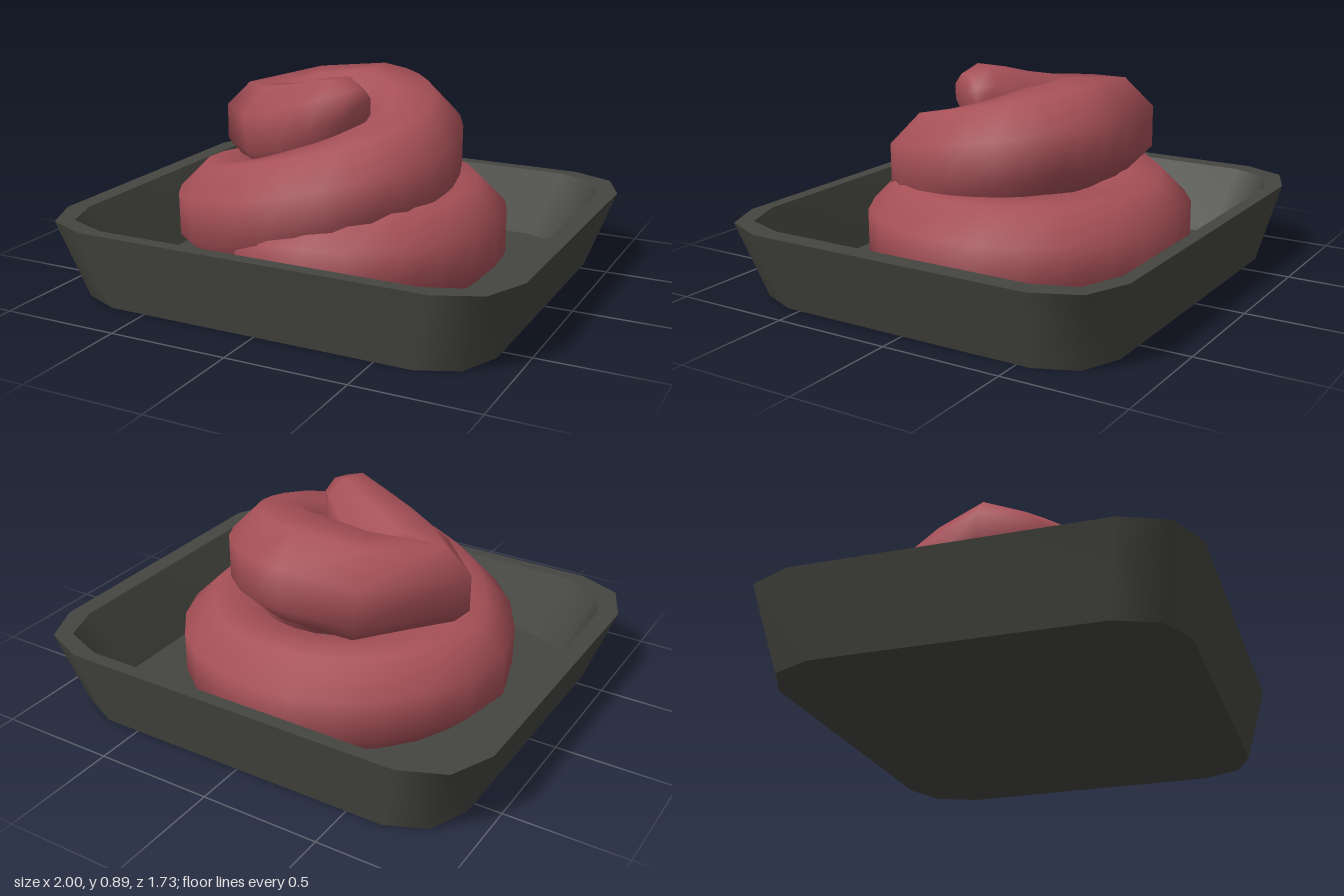
import * as THREE from 'three';

function meshFrom(positions, indices, material, name) {
  const g = new THREE.BufferGeometry();
  g.setAttribute('position', new THREE.Float32BufferAttribute(positions, 3));
  g.setIndex(indices);
  g.computeVertexNormals();
  const mesh = new THREE.Mesh(g, material);
  mesh.name = name;
  return mesh;
}

// Twelve-sided ring mirrored from the three points of one cut corner
function trayRing(corner, y, sx = 1, sz = 1) {
  const back = [...corner].reverse();
  return [
    ...corner.map(([x, z]) => [x, z]), ...back.map(([x, z]) => [x, -z]),
    ...corner.map(([x, z]) => [-x, -z]), ...back.map(([x, z]) => [-x, z]),
  ].map(([x, z]) => [x * sx, y, z * sz]);
}

// Closed strip of faces between two rings
function band(a, b, material, name) {
  const n = a.length, idx = [];
  for (let i = 0; i < n; i++) {
    const k = (i + 1) % n;
    idx.push(i, k, n + i, k, n + k, n + i);
  }
  return meshFrom([...a, ...b].flat(), idx, material, name);
}

// Eight-sided tube through [x, y, z, radius] points, capped at both ends
function sweep(path, material, name) {
  const sides = 8, pos = [], idx = [];
  const pts = path.map(([x, y, z]) => new THREE.Vector3(x, y, z));
  const up0 = new THREE.Vector3(0, 1, 0);
  const last = pts.length - 1;
  pts.forEach((p, i) => {
    const before = p.clone().sub(pts[Math.max(i - 1, 0)]).normalize();
    const after = pts[Math.min(i + 1, last)].clone().sub(p).normalize();
    const t = before.add(after).normalize();
    const side = up0.clone().cross(t).normalize();
    const up = t.clone().cross(side);
    for (let j = 0; j < sides; j++) {
      const a = (j + 0.5) / sides * Math.PI * 2;
      const v = p.clone().addScaledVector(side, Math.cos(a) * path[i][3])
        .addScaledVector(up, Math.sin(a) * path[i][3]);
      pos.push(v.x, v.y, v.z);
    }
  });
  const c = pts.length * sides;
  pos.push(...pts[0].toArray(), ...pts[last].toArray());
  for (let j = 0; j < sides; j++) {
    const k = (j + 1) % sides;
    for (let i = 0; i < last; i++) {
      const a = i * sides, b = a + sides;
      idx.push(a + j, a + k, b + j, a + k, b + k, b + j);
    }
    idx.push(c, k, j, c + 1, last * sides + j, last * sides + k);
  }
  return meshFrom(pos, idx, material, name);
}

export function createModel() {
  const model = new THREE.Group();
  model.name = 'trayWithCoil';
  const trayMat = new THREE.MeshStandardMaterial({ color: 0x454640 });
  trayMat.name = 'dark grey tray';
  const coilMat = new THREE.MeshStandardMaterial({ color: 0xa65057 });
  coilMat.name = 'red mince';

  // Tray: sloping walls, flat rim, recessed floor
  const outer = [[0.74, 0.867], [0.92, 0.79], [1, 0.61]];
  const inner = [[0.68, 0.81], [0.86, 0.74], [0.92, 0.57]];
  const floor = [[0.58, 0.73], [0.74, 0.66], [0.79, 0.52]];
  const centre = y => trayRing([[0, 0], [0, 0], [0, 0]], y);
  const base = trayRing(outer, 0, 0.885, 0.913);
  const rimOut = trayRing(outer, 0.325), rimIn = trayRing(inner, 0.325);
  const bed = trayRing(floor, 0.04);
  const tray = new THREE.Group();
  tray.name = 'tray';
  tray.add(
    band(centre(0), base, trayMat, 'trayBottom'),
    band(base, rimOut, trayMat, 'trayOuterWall'),
    band(rimOut, rimIn, trayMat, 'trayRim'),
    band(rimIn, bed, trayMat, 'trayInnerWall'),
    band(bed, centre(0.04), trayMat, 'trayFloor'),
  );
  model.add(tray);

  // Coil: [angle from front in degrees, distance from axis, height, tube radius]
  const keys = [
    [-30, 0.45, 0.23, 0.13], [-20, 0.45, 0.23, 0.18], [10, 0.435, 0.226, 0.215],
    [45, 0.455, 0.226, 0.23], [90, 0.46, 0.226, 0.23], [180, 0.47, 0.226, 0.23],
    [225, 0.495, 0.23, 0.23], [270, 0.54, 0.25, 0.23], [315, 0.475, 0.31, 0.23],
    [360, 0.39, 0.415, 0.225], [405, 0.345, 0.505, 0.225], [450, 0.285, 0.57, 0.225],
    [495, 0.255, 0.625, 0.225], [540, 0.27, 0.65, 0.225],
  ];
  const path = [];
  const addPoint = (deg, r, y, tube) => {
    const a = THREE.MathUtils.degToRad(deg);
    path.push([r * Math.sin(a), y, r * Math.cos(a), tube]);
  };
  for (let i = 0; i < keys.length - 1; i++) {
    const steps = Math.max(1, Math.round((keys[i + 1][0] - keys[i][0]) / 16));
    for (let s = 0; s < steps; s++) {
      addPoint(...keys[i].map((v, n) => THREE.MathUtils.lerp(v, keys[i + 1][n], s / steps)));
    }
  }
  addPoint(...keys[keys.length - 1]);
  // Sharp fold at the left, then the tapering tip across the top
  path.push(
    [-0.23, 0.625, -0.25, 0.22], [-0.42, 0.6, -0.05, 0.2], [-0.29, 0.615, 0.035, 0.2],
    [-0.16, 0.655, 0.09, 0.19], [-0.02, 0.72, 0.135, 0.165],
    [0.08, 0.775, 0.18, 0.125], [0.14, 0.775, 0.205, 0.085],
  );
  model.add(sweep(path, coilMat, 'minceCoil'));
  return model;
}
